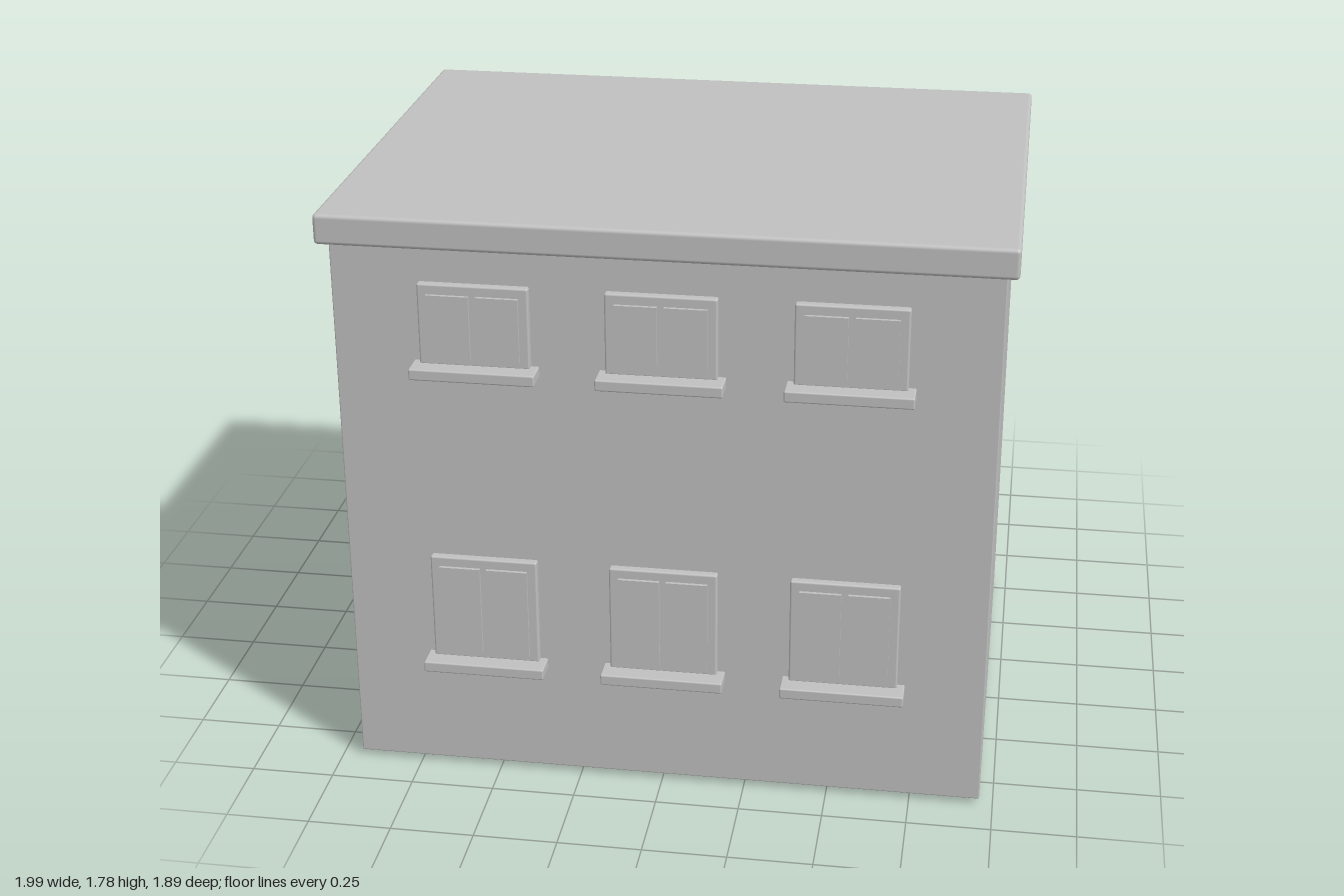
import * as THREE from 'three';
import { RoundedBoxGeometry } from 'three/addons/geometries/RoundedBoxGeometry.js';

export function createModel() {
  const model = new THREE.Group();
  model.name = 'shopBuilding';
  const plaster = new THREE.MeshStandardMaterial({ color: 0xc0c0c0 });
  plaster.name = 'light grey plaster';

  // Box given by its limits on each axis, with optional softened edges
  function block(name, [x0, x1], [y0, y1], [z0, z1], parent = model, radius = 0) {
    const size = [x1 - x0, y1 - y0, z1 - z0];
    const geometry = radius ? new RoundedBoxGeometry(...size, 2, radius) : new THREE.BoxGeometry(...size);
    const mesh = new THREE.Mesh(geometry, plaster);
    mesh.name = name;
    mesh.position.set((x0 + x1) / 2, (y0 + y1) / 2, (z0 + z1) / 2);
    parent.add(mesh);
    return mesh;
  }

  // Walls and flat roof
  block('walls', [-0.94, 0.96], [0.02, 1.69], [-0.56, 0.87], model, 0.004);
  block('roof', [-0.975, 0.992], [1.69, 1.78], [-0.597, 0.9], model, 0.012);

  // Window built against z = 0, facing +z, with its sill bottom at y = 0
  function makeWindow(name, height) {
    const group = new THREE.Group();
    group.name = name;
    block('windowFrame', [-0.16, 0.16], [0.03, height], [-0.03, 0.024], group, 0.006);
    for (const side of [-1, 1]) {
      const xs = [side * 0.01, side * 0.132].sort((a, b) => a - b);
      block('windowLeaf', xs, [0.055, height - 0.03], [0, 0.034], group);
    }
    block('windowSill', [-0.182, 0.182], [0, 0.034], [-0.03, 0.076], group, 0.005);
    model.add(group);
    return group;
  }
  for (const x of [-0.527, 0.009, 0.543]) {
    makeWindow('upperFrontWindow', 0.275).position.set(x, 1.312, 0.868);
    makeWindow('lowerFrontWindow', 0.365).position.set(x, 0.36, 0.868);
    const back = makeWindow('backWindow', 0.275);
    back.position.set(x, 1.312, -0.562);
    back.rotation.y = Math.PI;
  }

  // Sign board above the awning
  block('signBoard', [-0.762, 0.778], [1.047, 1.33], [-0.612, -0.55], model, 0.005);

  // Shop front: surround and large display pane
  block('shopSurround', [-1.0, 0.68], [0.105, 0.84], [-0.593, -0.547]);
  block('displayPane', [-0.935, 0.335], [0.16, 0.79], [-0.603, -0.585]);

  // Door with frame, knob and step
  block('doorFrame', [0.335, 0.757], [0.003, 0.78], [-0.59, -0.545]);
  block('door', [0.37, 0.715], [0.05, 0.77], [-0.602, -0.58]);
  block('doorStep', [0.31, 0.782], [0.025, 0.056], [-0.765, -0.575], model, 0.005);
  const knob = new THREE.Mesh(new THREE.SphereGeometry(0.021, 20, 14), plaster);
  knob.name = 'doorKnob';
  knob.position.set(0.66, 0.375, -0.609);
  model.add(knob);

  // Awning: a sloping sheet with a hanging valance, in eight strips
  const profile = new THREE.Shape([
    [0.55, 1.043], [0.57, 1.035], [0.943, 0.885], [0.943, 0.81],
    [0.927, 0.81], [0.927, 0.865], [0.57, 1.008], [0.55, 1.008],
  ].map(([x, y]) => new THREE.Vector2(x, y)));
  const strips = 8, left = -0.82, pitch = 1.658 / strips, gap = 0.003;
  for (let i = 0; i < strips; i++) {
    const geometry = new THREE.ExtrudeGeometry(profile, { depth: pitch - gap, bevelEnabled: false });
    const strip = new THREE.Mesh(geometry, plaster);
    strip.name = 'awningStrip';
    strip.rotation.y = Math.PI / 2; // profile x runs to -z, depth runs to +x
    strip.position.x = left + i * pitch;
    model.add(strip);
  }
  return model;
}
